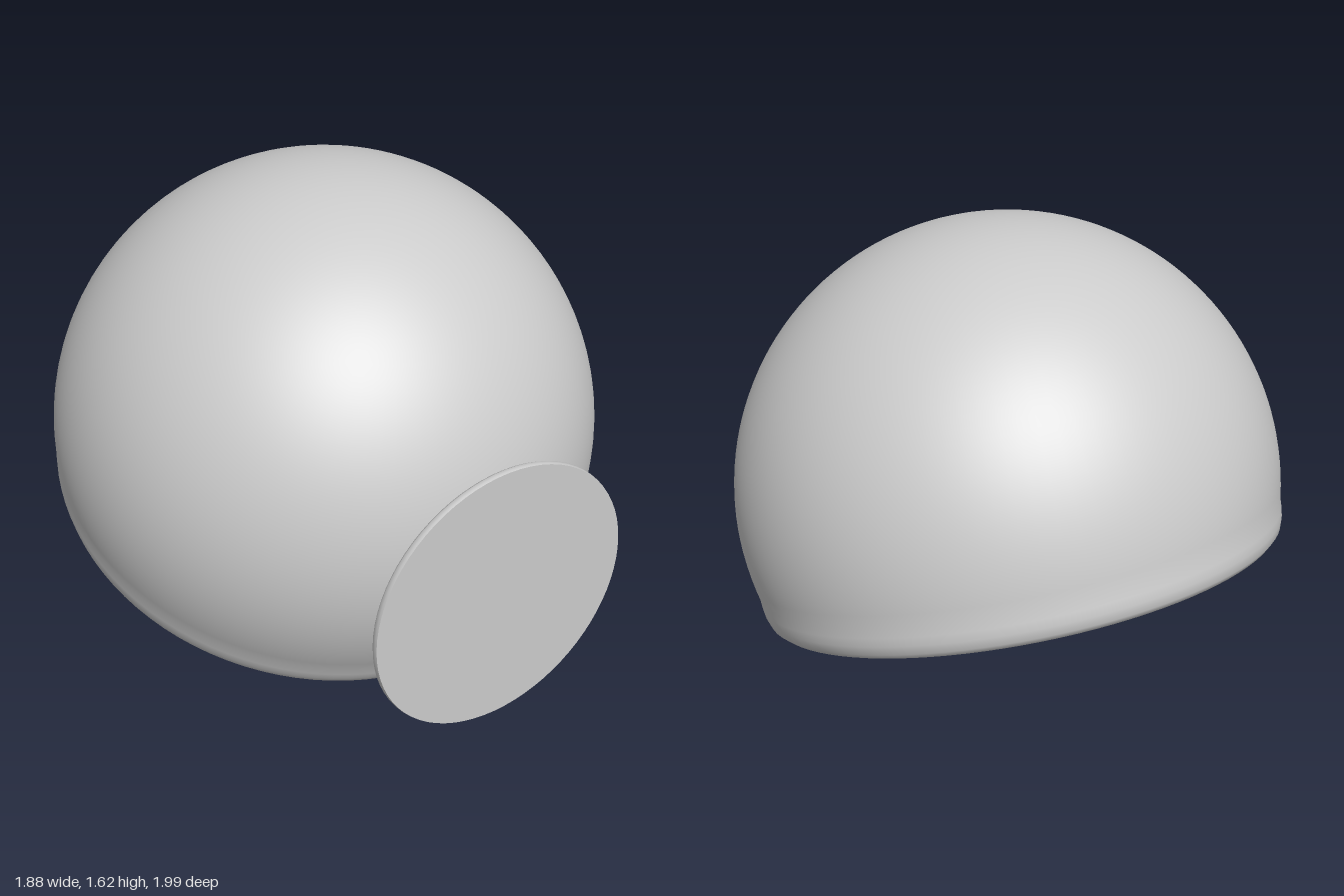
import * as THREE from 'three';

const grey = new THREE.MeshStandardMaterial({ color: 0xcccccc, side: THREE.DoubleSide });
const orange = new THREE.MeshStandardMaterial({ color: 0xd08a10, side: THREE.DoubleSide });

const V = (x, y) => new THREE.Vector2(x, y);

function add(parent, name, geometry, material) {
  const mesh = new THREE.Mesh(geometry, material);
  mesh.name = name;
  parent.add(mesh);
  return mesh;
}

// Arc of radius r from height y0 up to the pole, as lathe points
function dome(r, y0, steps = 40) {
  const a0 = Math.asin(y0 / r);
  return Array.from({ length: steps + 1 }, (_, i) => {
    const a = a0 + (Math.PI / 2 - a0) * i / steps;
    return V(Math.max(0, r * Math.cos(a)), r * Math.sin(a));
  });
}

// Pillow: a sphere pushed to a rounded square, sloped and kept inside the ball
function cushionGeometry() {
  const g = new THREE.SphereGeometry(1, 96, 64);
  g.rotateX(Math.PI / 2);
  const p = g.attributes.position;
  const v = new THREE.Vector3();
  for (let i = 0; i < p.count; i++) {
    v.fromBufferAttribute(p, i);
    const flat = Math.max(Math.hypot(v.x, v.y), 1e-6);
    const square = Math.pow(Math.abs(v.x / flat) ** 3.5 + Math.abs(v.y / flat) ** 3.5, -1 / 3.5);
    const k = square * Math.pow(flat, -0.25);
    const y = 0.1 + v.y * k * 0.575;
    const thick = Math.sign(v.z) * Math.pow(Math.abs(v.z), 0.85);
    v.set(v.x * k * 0.74, y, 0.61 + thick * 0.27 - 0.15 * (y + 0.3));
    if (v.length() > 0.87) v.setLength(0.87);
    // Keep clear of the lip at the opening
    const out = Math.hypot(v.x, v.z);
    if (v.y < -0.2 && out > 0.83) {
      v.x *= 0.83 / out;
      v.z *= 0.83 / out;
    }
    p.setXYZ(i, v.x, v.y, v.z);
  }
  g.computeVertexNormals();
  return g;
}

export function createModel() {
  const model = new THREE.Group();
  model.name = 'ballChair';

  // Ball, tilted so its opening faces down and back
  const ball = new THREE.Group();
  ball.name = 'ball';
  ball.position.set(0, 0.677, -0.036);
  ball.rotation.x = 0.345;
  model.add(ball);

  // Outer shell with a thick rolled lip
  const lip = [V(0.825, -0.27), V(0.828, -0.295), V(0.842, -0.312), V(0.863, -0.319),
    V(0.886, -0.313), V(0.905, -0.295), V(0.915, -0.265), V(0.919, -0.235)];
  add(ball, 'shell', new THREE.LatheGeometry([...lip, ...dome(0.942, -0.2)], 96), grey);

  // Thin lining and welt around the opening
  add(ball, 'lining', new THREE.LatheGeometry(dome(0.865, -0.27), 96), orange);
  const welt = add(ball, 'welt', new THREE.TorusGeometry(0.815, 0.026, 12, 96), orange);
  welt.rotation.x = Math.PI / 2;
  welt.position.y = -0.288;
  const rearWelt = add(ball, 'rearWelt', new THREE.TorusGeometry(0.815, 0.026, 12, 48, Math.PI), orange);
  rearWelt.rotation.x = -Math.PI / 2;
  rearWelt.position.y = -0.302;

  // Thick padding on the half beside the base
  const padEdge = [V(0.845, -0.285), V(0.83, -0.3), V(0.81, -0.298), V(0.796, -0.275)];
  add(ball, 'padding', new THREE.LatheGeometry([...padEdge, ...dome(0.835, -0.25)], 64,
    -Math.PI / 2, Math.PI), orange);
  add(ball, 'paddingEdge', new THREE.RingGeometry(0.835, 0.866, 80, 1, -0.33, Math.PI + 0.66), orange);

  // Seat cushion
  add(ball, 'seatCushion', cushionGeometry(), orange);

  // Trumpet base: neck flaring into the ball and a round foot
  const foot = [V(0.28, 0.8), V(0.2, 0.848), V(0.14, 0.885), V(0.105, 0.905), V(0.09, 0.915),
    V(0.1, 0.922), V(0.16, 0.934), V(0.25, 0.948), V(0.35, 0.961), V(0.42, 0.968),
    V(0.46, 0.97), V(0.473, 0.974), V(0.478, 0.982), V(0.478, 0.993), V(0.476, 1)];
  const base = new THREE.Group();
  base.name = 'base';
  base.position.y = 0.555;
  base.rotation.x = Math.PI / 2;
  model.add(base);
  add(base, 'foot', new THREE.LatheGeometry(foot, 72), grey);
  const sole = add(base, 'sole', new THREE.CircleGeometry(0.476, 72), grey);
  sole.rotation.x = -Math.PI / 2;
  sole.position.y = 1;

  return model;
}
